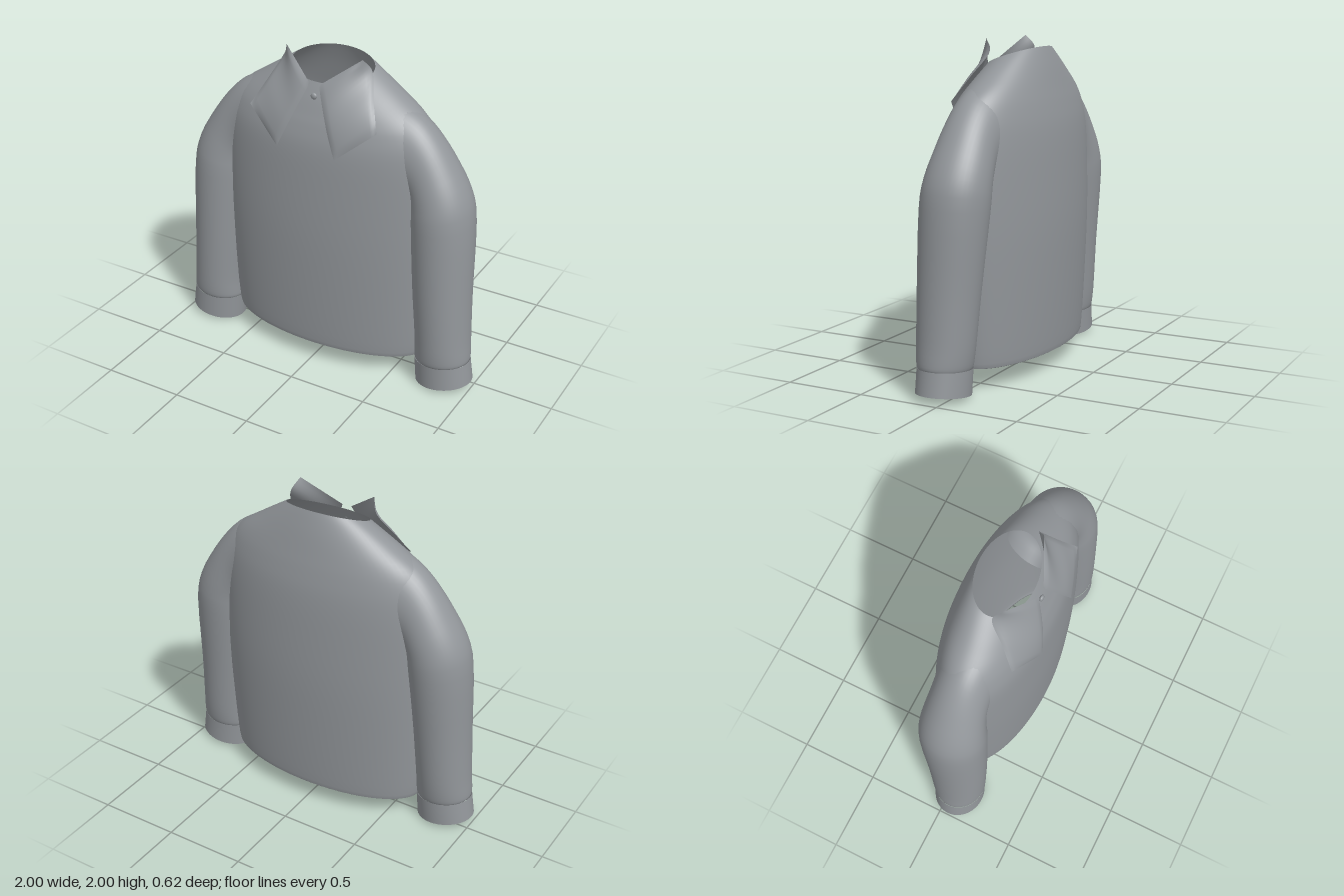
import * as THREE from 'three';

const fabric = new THREE.MeshStandardMaterial({ color: 0x92969a, side: THREE.DoubleSide });

// Smoothly subdivide a list of section parameters (Catmull-Rom per column).
function refine(rows, steps) {
  const out = [];
  const at = i => rows[Math.max(0, Math.min(rows.length - 1, i))];
  for (let i = 0; i < rows.length - 1; i++) {
    for (let k = 0; k < steps; k++) {
      const t = k / steps;
      out.push(rows[i].map((p1, c) => {
        const p0 = at(i - 1)[c], p2 = at(i + 1)[c], p3 = at(i + 2)[c];
        return 0.5 * (2 * p1 + (p2 - p0) * t + (2 * p0 - 5 * p1 + 4 * p2 - p3) * t * t
          + (3 * p1 - p0 - 3 * p2 + p3) * t * t * t);
      }));
    }
  }
  out.push(rows[rows.length - 1]);
  return out;
}

// Skin closed rings, listed from bottom to top.
function loft(rows, point, sides) {
  const pos = [], index = [];
  rows.forEach((row, j) => {
    for (let i = 0; i < sides; i++) {
      const t = (i / sides) * Math.PI * 2;
      pos.push(...point(row, Math.cos(t), Math.sin(t)));
      if (j < rows.length - 1) {
        const a = j * sides + i, b = j * sides + (i + 1) % sides;
        index.push(a, a + sides, b, b, a + sides, b + sides);
      }
    }
  });
  return finish(pos, index);
}

function finish(pos, index) {
  const g = new THREE.BufferGeometry();
  g.setAttribute('position', new THREE.Float32BufferAttribute(pos, 3));
  g.setIndex(index);
  g.computeVertexNormals();
  return g;
}

function part(name, geometry) {
  const m = new THREE.Mesh(geometry, fabric);
  m.name = name;
  return m;
}

// Body section: [y, half width, front z, back z, tilt]
const bodyPoint = ([y, a, zf, zb, tilt], c, s) => {
  const dz = s * (zf - zb) / 2;
  return [a * c, y - tilt * dz, (zf + zb) / 2 + dz];
};

// Sleeve section: [outer x, outer y, inner x, inner y, front z, back z]
const sleevePoint = ([ox, oy, ix, iy, zf, zb], c, s) => [
  (ox + ix) / 2 + c * (ox - ix) / 2,
  (oy + iy) / 2 + c * (oy - iy) / 2,
  (zf + zb) / 2 + s * (zf - zb) / 2,
];

// Collar flap: a padded patch spanning its inner and outer edge curves.
function collarFlap() {
  const curve = pts => new THREE.CatmullRomCurve3(pts.map(p => new THREE.Vector3(...p)));
  const inner = curve([[0.03, 1.84, 0.2], [0.08, 1.72, 0.245], [0.135, 1.585, 0.285], [0.19, 1.455, 0.31]]);
  const outer = curve([[0.25, 2, 0.09], [0.285, 1.93, 0.045], [0.35, 1.78, 0.14], [0.418, 1.64, 0.23]]);
  const n = 16, pos = [], index = [];
  for (const side of [1, 0]) {
    const base = pos.length / 3;
    for (let j = 0; j <= n; j++) {
      const a = inner.getPoint(j / n), b = outer.getPoint(j / n);
      for (let i = 0; i <= n; i++) {
        const u = i / n, v = j / n;
        const p = a.clone().lerp(b, u);
        const puff = Math.pow(Math.sin(Math.PI * u) * Math.sin(Math.PI * v), 0.5);
        p.x += side * 0.012 * puff;
        p.y += side * 0.01 * puff;
        p.z += (side ? 0.035 : 0.005) * puff;
        pos.push(p.x, p.y, p.z);
        if (i < n && j < n) {
          const q = base + j * (n + 1) + i, r = q + n + 1;
          if (side) index.push(q, r, q + 1, q + 1, r, r + 1);
          else index.push(q, q + 1, r, q + 1, r + 1, r);
        }
      }
    }
  }
  return finish(pos, index);
}

export function createModel() {
  const model = new THREE.Group();
  model.name = 'collaredShirt';

  // Body with turned hem, sloped shoulders and tilted neck opening
  const body = refine([
    [0.145, 0.645, 0.268, -0.268, 0],
    [0.165, 0.665, 0.283, -0.28, 0],
    [0.5, 0.69, 0.3, -0.298, 0],
    [0.9, 0.71, 0.31, -0.31, 0],
    [1.25, 0.715, 0.303, -0.302, 0],
    [1.47, 0.7, 0.29, -0.288, 0],
    [1.6, 0.66, 0.262, -0.265, 0.03],
    [1.69, 0.585, 0.235, -0.24, 0.1],
    [1.78, 0.45, 0.207, -0.212, 0.2],
    [1.85, 0.337, 0.18, -0.185, 0.3],
    [1.893, 0.265, 0.158, -0.168, 0.34],
  ], 4);
  model.add(part('body', loft(body, bodyPoint, 72)));

  // Sleeve gathered at the wrist, flattening into the shoulder
  const sleeve = loft(refine([
    [0.97, 0.184, 0.64, 0.16, 0.205, -0.093],
    [0.977, 0.2, 0.633, 0.177, 0.213, -0.101],
    [0.975, 0.25, 0.632, 0.225, 0.218, -0.11],
    [0.967, 0.36, 0.628, 0.33, 0.221, -0.122],
    [0.955, 0.65, 0.6, 0.63, 0.224, -0.145],
    [0.942, 1.09, 0.56, 1.05, 0.22, -0.185],
    [0.9, 1.28, 0.55, 1.16, 0.205, -0.187],
    [0.8, 1.455, 0.54, 1.2, 0.184, -0.178],
    [0.7, 1.59, 0.52, 1.22, 0.172, -0.17],
    [0.6, 1.685, 0.48, 1.23, 0.172, -0.172],
    [0.48, 1.75, 0.42, 1.23, 0.185, -0.187],
    [0.36, 1.8, 0.36, 1.23, 0.185, -0.187],
  ], 3), sleevePoint, 48);

  // Flared cuff band
  const cuff = loft([
    [0.999, 0.052, 0.645, 0.004, 0.213, -0.098],
    [0.978, 0.191, 0.632, 0.165, 0.213, -0.1],
  ], sleevePoint, 48);
  const flap = collarFlap();

  // Matching sides
  for (const [side, sx] of [['left', 1], ['right', -1]]) {
    const half = new THREE.Group();
    half.name = side + 'Side';
    half.scale.x = sx;
    half.add(
      part(side + 'Sleeve', sleeve),
      part(side + 'Cuff', cuff),
      part(side + 'CollarFlap', flap),
    );
    model.add(half);
  }

  // Neck button
  const button = part('button', new THREE.SphereGeometry(0.02, 20, 12));
  button.position.set(0, 1.77, 0.205);
  button.scale.z = 0.6;
  model.add(button);

  return model;
}
